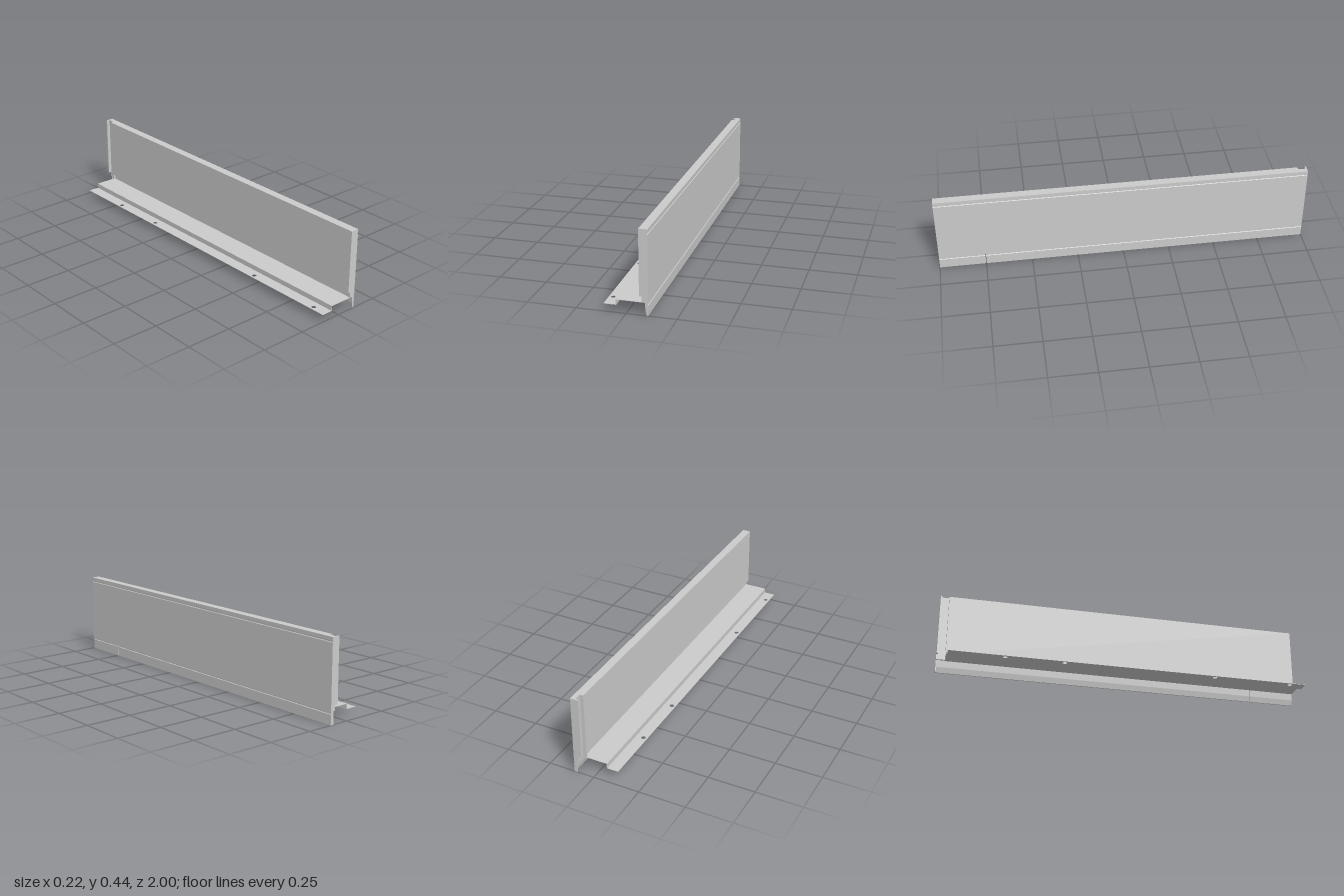
import * as THREE from 'three';

const material = new THREE.MeshStandardMaterial({ color: 0xcccccc, side: THREE.DoubleSide });

// Extrude an x-y section along z
function extrudeZ(name, points, z0, z1) {
  const shape = new THREE.Shape(points.map(([x, y]) => new THREE.Vector2(x, y)));
  const geometry = new THREE.ExtrudeGeometry(shape, { depth: z1 - z0, bevelEnabled: false });
  geometry.translate(0, 0, z0);
  const mesh = new THREE.Mesh(geometry, material);
  mesh.name = name;
  return mesh;
}

// Box given by its limits on each axis
function block(name, x0, x1, y0, y1, z0, z1) {
  const mesh = new THREE.Mesh(new THREE.BoxGeometry(x1 - x0, y1 - y0, z1 - z0), material);
  mesh.position.set((x0 + x1) / 2, (y0 + y1) / 2, (z0 + z1) / 2);
  mesh.name = name;
  return mesh;
}

export function createModel() {
  const model = new THREE.Group();
  model.name = 'skirtingPanel';

  const outer = 0.109, inner = 0.065, slot = 0.083;
  const top = 0.435, shelfY = 0.068, stepY = 0.097;
  const front = 1, back = -1, bodyBack = -0.945, bracketBack = -0.953;
  const sheet = 0.002;

  // Outer skin with a narrow groove below its top edge
  model.add(extrudeZ('outerSkin', [
    [slot, shelfY], [outer, shelfY], [outer, 0.408], [outer - 0.003, 0.41],
    [outer - 0.003, 0.414], [outer, 0.416], [outer, top], [slot, top],
  ], back, front));

  // Tapered lower lip in two lengths, with a groove along its upper edge
  const lip = [
    [0.103, 0], [outer, 0], [outer, 0.053], [outer - 0.003, 0.055],
    [outer - 0.003, 0.058], [outer, 0.06], [outer, shelfY], [0.093, shelfY], [0.096, 0.03],
  ];
  model.add(extrudeZ('lowerLipFront', lip, 0.752, front));
  model.add(extrudeZ('lowerLipRear', lip, back, 0.749));

  // Inner body, set back along its foot
  model.add(block('innerBody', inner, slot, stepY, top, bodyBack, front));
  model.add(block('innerFoot', 0.078, slot, shelfY, stepY, bodyBack, front));
  model.add(block('rearWall', inner, slot, shelfY, top, bracketBack, bodyBack));

  // Rear end flange, leaving an upright slot in front of it
  model.add(block('rearFlange', inner, slot, stepY, top, back, -0.992));
  model.add(block('rearLipPlate', 0.091, outer - 0.004, 0, shelfY, back, -0.996));

  // Stepped mounting bracket
  model.add(block('bracketShelf', -0.05, 0.094, shelfY - sheet, shelfY, bracketBack, front));
  model.add(block('bracketRiser', -0.05, -0.05 + sheet, 0.039, shelfY, bracketBack, front));

  // Bracket flange with four screw holes, drawn flat and laid down
  const x0 = -0.111, x1 = -0.05 + sheet;
  const flange = new THREE.Shape([
    new THREE.Vector2(x0, -front), new THREE.Vector2(x1, -front),
    new THREE.Vector2(x1, -bracketBack), new THREE.Vector2(x0, -bracketBack),
  ]);
  for (const z of [-0.655, -0.34, 0.487, 0.917]) {
    const hole = new THREE.Path();
    hole.absarc(-0.09, -z, 0.012, 0, Math.PI * 2, true);
    flange.holes.push(hole);
  }
  const flangeGeometry = new THREE.ExtrudeGeometry(flange, { depth: sheet, bevelEnabled: false, curveSegments: 24 });
  flangeGeometry.rotateX(-Math.PI / 2);
  const bracketFlange = new THREE.Mesh(flangeGeometry, material);
  bracketFlange.position.y = 0.039;
  bracketFlange.name = 'bracketFlange';
  model.add(bracketFlange);

  return model;
}
